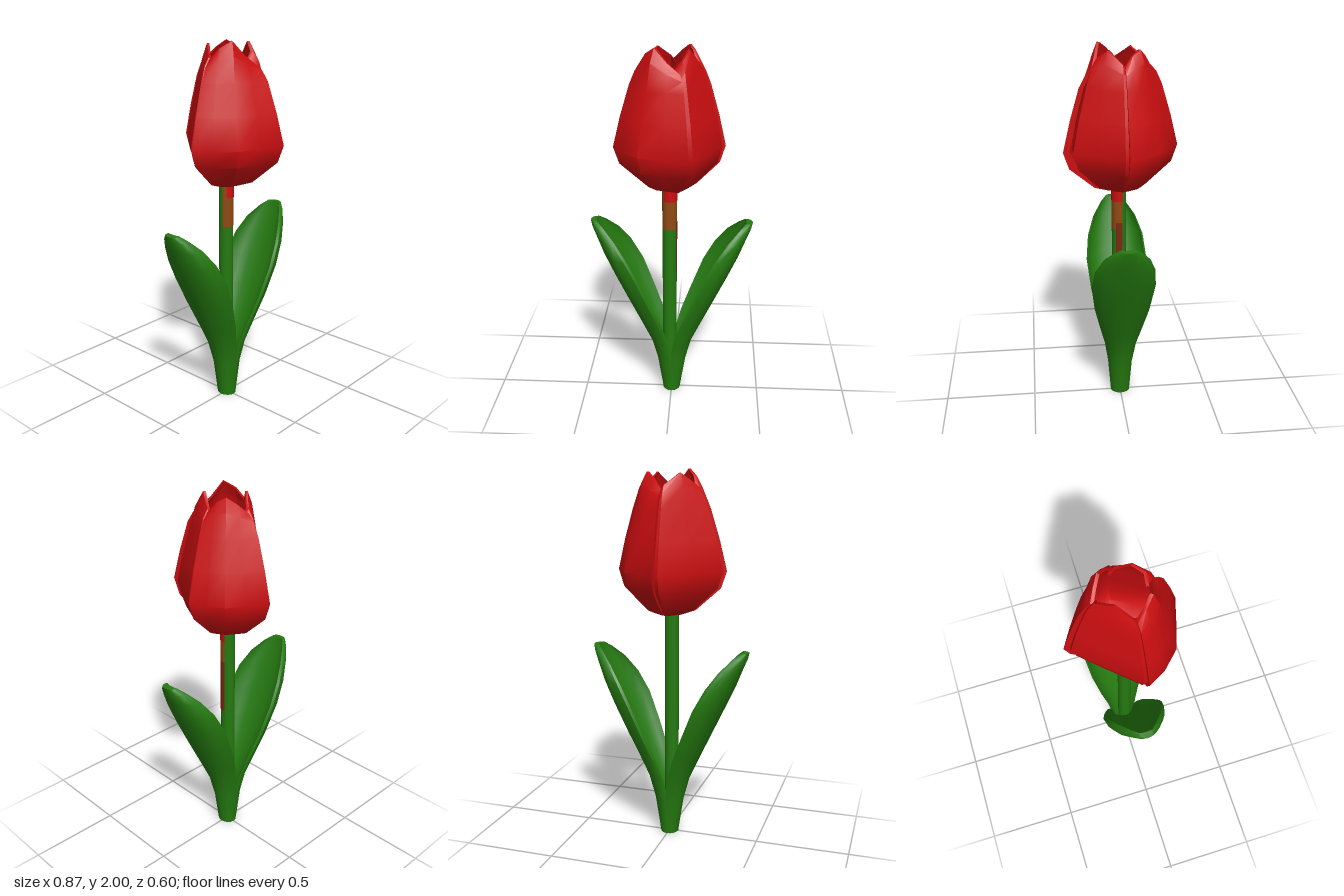
import * as THREE from 'three';
import { toCreasedNormals } from 'three/addons/utils/BufferGeometryUtils.js';

const mat = (name, color, side = THREE.FrontSide) => {
  const m = new THREE.MeshStandardMaterial({ color, side });
  m.name = name;
  return m;
};

// Skin a stack of closed rings; each ring is an outer strip followed by its inner strip reversed
function skinRings(rings, crease) {
  const n = rings[0].length, index = [];
  rings.slice(1).forEach((_, i) => {
    for (let j = 0; j < n; j++) {
      const a = i * n + j, b = i * n + (j + 1) % n;
      index.push(a, b, b + n, a, b + n, a + n);
    }
  });
  const top = (rings.length - 1) * n;
  for (let k = 0; k < n / 2 - 1; k++) {
    const a = k, b = k + 1, c = n - 2 - k, d = n - 1 - k;
    index.push(top + a, top + b, top + c, top + a, top + c, top + d);
    index.push(a, c, b, a, d, c);
  }
  const g = new THREE.BufferGeometry();
  g.setAttribute('position', new THREE.Float32BufferAttribute(rings.flat(2), 3));
  g.setIndex(index);
  return toCreasedNormals(g, crease);
}

// Cupped petal: a plan outline scaled up the bud profile, with its own rim heights
function petalGeometry(plan, tops) {
  const profile = [[1.24, 0.08], [1.243, 0.2], [1.27, 0.46], [1.39, 0.9], [1.48, 1],
    [1.64, 0.87], [1.8, 0.71], [null, 0.61, 0.65], [null, 0.5, 1]];
  const rings = profile.map(([y, s, f], i) => {
    const height = k => (y === null ? 1.8 + (tops[k] - 1.8) * f : y);
    const lift = i < 4 ? 0.03 : 0;
    const outer = plan.map(([x, z], k) => [x * s, height(k), z * s]);
    const inner = plan.map(([x, z], k) => [x * s * 0.88, height(k) + lift, z * s * 0.88]);
    return [...outer, ...inner.reverse()];
  });
  return skinRings(rings, 0.6);
}

// Channelled leaf leaning toward +x
function leafGeometry() {
  // height, midrib x, edge x, half width
  const rows = [[0, 0.048, 0, 0.054], [0.2, 0.08, 0.0, 0.07], [0.33, 0.115, 0.025, 0.09],
    [0.45, 0.17, 0.06, 0.12], [0.6, 0.24, 0.12, 0.153], [0.76, 0.315, 0.185, 0.172],
    [0.88, 0.37, 0.25, 0.158], [0.97, 0.405, 0.315, 0.122], [1.03, 0.43, 0.375, 0.075],
    [1.06, 0.437, 0.41, 0.04]];
  const steps = 8;
  const rings = rows.map(([y, mid, edge, half]) => {
    const outer = [], inner = [];
    for (let k = 0; k <= steps; k++) {
      const a = (k / steps) * Math.PI, c = Math.sin(a);
      const x = edge + (mid - edge) * c, z = half * Math.cos(a);
      outer.push([x, y, z]);
      inner.push([x - 0.012 - 0.022 * c, y + 0.003, z * 0.94]);
    }
    if (y === 0) inner.forEach(p => { p[1] = 0; });
    return [...outer, ...inner.reverse()];
  });
  return skinRings(rings, 0.8);
}

export function createModel() {
  const model = new THREE.Group();
  model.name = 'flower';
  const red = mat('petal red', 0xcc0e10);
  const green = mat('leaf green', 0x257a10);
  const darkGreen = mat('pistil green', 0x0f6418);
  const brown = mat('stem brown', 0x8f4a12);
  const rust = mat('stem rust', 0x7d2810);
  const ochre = mat('petal base ochre', 0xa8701a, THREE.DoubleSide);
  const add = (name, geometry, material, parent = model) => {
    const mesh = new THREE.Mesh(geometry, material);
    mesh.name = name;
    parent.add(mesh);
    return mesh;
  };

  // Stem with blushed patches on its front under the bud
  const stem = new THREE.Group();
  stem.name = 'stem';
  stem.position.set(-0.01, 0, 0.005);
  model.add(stem);
  add('stalk', new THREE.CylinderGeometry(0.039, 0.039, 1.3, 12).translate(0, 0.65, 0), green, stem);
  const patch = (name, material, r, y0, y1, from, to) => {
    const d = THREE.MathUtils.degToRad;
    add(name, new THREE.CylinderGeometry(r, r, y1 - y0, 8, 1, true, d(from), d(to - from))
      .translate(0, (y0 + y1) / 2, 0), material, stem);
  };
  patch('brownBlush', brown, 0.0405, 1.02, 1.245, -75, 110);
  patch('rustStreak', rust, 0.041, 0.76, 1.06, 60, 110);
  patch('redBlush', red, 0.0415, 1.18, 1.245, -45, 110);

  // Two opposite leaves
  const leaf = leafGeometry();
  add('leftLeaf', leaf, green);
  add('rightLeaf', leaf, green).rotation.y = Math.PI;

  // Four overlapping petals
  const bud = new THREE.Group();
  bud.name = 'bud';
  model.add(bud);
  const petals = {
    frontRightPetal: [[[-0.3, 0.04], [-0.25, 0.13], [-0.16, 0.22], [-0.03, 0.262], [0.1, 0.3]],
      [1.91, 1.965, 2.0, 1.93, 1.88]],
    frontLeftPetal: [[[0.03, 0.25], [0.12, 0.25], [0.19, 0.14], [0.265, 0], [0.25, -0.07]],
      [1.89, 1.94, 1.985, 1.92, 1.89]],
    backLeftPetal: [[[0.28, -0.02], [0.24, -0.1], [0.19, -0.18], [0.1, -0.24], [0, -0.3]],
      [1.91, 1.96, 1.985, 1.95, 1.9]],
    backRightPetal: [[[0.03, -0.26], [-0.02, -0.27], [-0.155, -0.125], [-0.285, 0.02], [-0.265, 0.07]],
      [1.89, 1.92, 1.98, 1.92, 1.89]],
  };
  for (const [name, [plan, tops]] of Object.entries(petals)) {
    add(name, petalGeometry(plan, tops), red, bud);
  }

  // Pistil and ochre marks at the heart of the bud
  add('pistil', new THREE.CylinderGeometry(0.034, 0.034, 0.16, 10).translate(-0.005, 1.36, 0), darkGreen, bud);
  add('pistilTip', new THREE.SphereGeometry(0.041, 9, 6).translate(-0.005, 1.44, 0), darkGreen, bud);
  const mark = new THREE.Shape([[-0.02, 0.02], [0.02, 0.02], [0.034, 0.09], [0.018, 0.118],
    [-0.018, 0.118], [-0.034, 0.09]].map(p => new THREE.Vector2(...p)));
  const markGeometry = new THREE.ShapeGeometry(mark).rotateX(Math.PI / 2 - 0.6).translate(0, 1.315, 0);
  [20, -62, 168].forEach((deg, i) => {
    add('heartMark' + (i + 1), markGeometry, ochre, bud).rotation.y = THREE.MathUtils.degToRad(deg);
  });

  return model;
}
